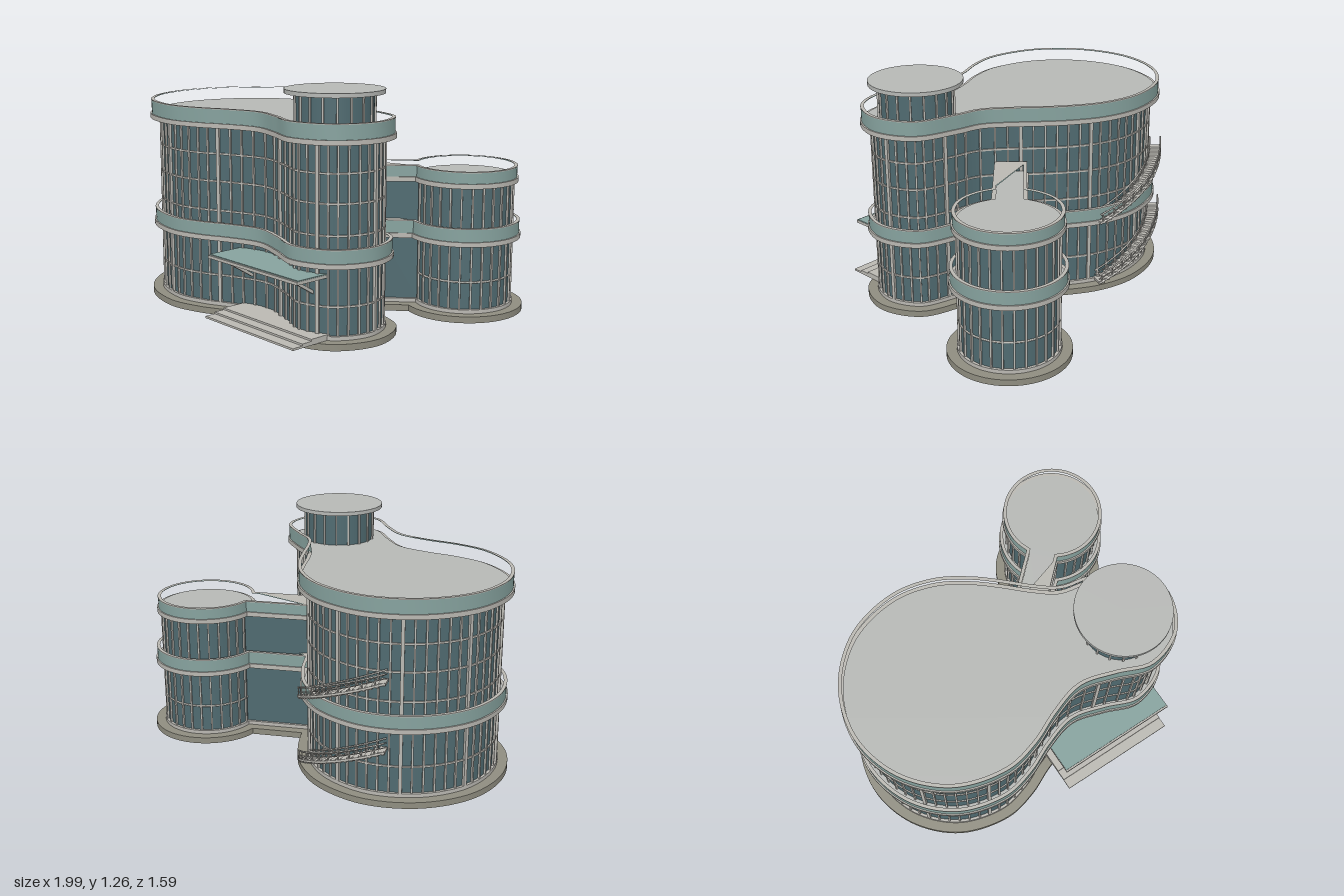
import * as THREE from 'three';
import { mergeGeometries, toCreasedNormals } from 'three/addons/utils/BufferGeometryUtils.js';

const material = (name, color) => {
  const m = new THREE.MeshStandardMaterial({ color });
  m.name = name;
  return m;
};

export function createModel() {
  const group = new THREE.Group();
  const glass = material('dark glass', 0x4f6a70);
  const teal = material('teal panel', 0x86a29e);
  const trim = material('light trim', 0xbab8b2);
  const roofing = material('roof grey', 0xb6b8b5);
  const stone = material('plinth stone', 0x8f8d80);

  const add = (name, geometry, mat) => {
    const mesh = new THREE.Mesh(geometry, mat);
    mesh.name = name;
    group.add(mesh);
    return mesh;
  };

  // Plan of the main block: a large and a small lobe in one flowing curve (x, z)
  const BASE = 0.07; // the plinth projects this far from the glass
  const plan = new THREE.CatmullRomCurve3([
    [-1, 0.15], [-0.92, -0.14], [-0.71, -0.352], [-0.42, -0.43], [-0.18, -0.385], [0, -0.28],
    [0.12, -0.18], [0.25, -0.06], [0.36, 0.02], [0.5, 0.05], [0.735, 0.135], [0.83, 0.36],
    [0.735, 0.585], [0.51, 0.675], [0.31, 0.61], [0.13, 0.565], [-0.05, 0.615], [-0.22, 0.69],
    [-0.42, 0.73], [-0.71, 0.652], [-0.92, 0.44],
  ].map(([x, z]) => new THREE.Vector3(x, 0, z)), true, 'centripetal');

  // Point on the main glass line, pushed out by o, with its outward normal
  const mainAt = (u, o) => {
    const p = plan.getPointAt(u % 1), t = plan.getTangentAt(u % 1);
    return { x: p.x + t.z * (o - BASE), z: p.z - t.x * (o - BASE), nx: t.z, nz: -t.x };
  };
  const mainPlan = (o) => Array.from({ length: 144 }, (_, i) => {
    const p = mainAt(i / 144, o);
    return new THREE.Vector2(p.x, -p.z);
  });

  // Plan of the annex: a round tower with a straight link into the main block
  const AX = 0.665, AZ = -0.47, AR = 0.257, LINK = 0.065, LENGTH = 0.64;
  const linkAngle = Math.atan2(0.68, -0.73);
  const annexPlan = (o) => {
    const r = AR + o, h = LINK + o, gap = Math.asin(h / r), pts = [];
    const c = Math.cos(linkAngle), s = Math.sin(linkAngle);
    for (let i = 0; i <= 72; i++) {
      const a = linkAngle + gap + (i / 72) * (2 * Math.PI - 2 * gap);
      pts.push(new THREE.Vector2(AX + r * Math.cos(a), -(AZ + r * Math.sin(a))));
    }
    for (const k of [-h, h]) pts.push(new THREE.Vector2(AX + c * LENGTH - s * k, -(AZ + s * LENGTH + c * k)));
    return pts;
  };

  // Extrude a plan between two heights, optionally hollow
  const solid = (outer, y0, y1, inner) => {
    const shape = new THREE.Shape(outer);
    if (inner) shape.holes.push(new THREE.Path(inner));
    const g = new THREE.ExtrudeGeometry(shape, { depth: y1 - y0, bevelEnabled: false });
    g.rotateX(-Math.PI / 2).translate(0, y0, 0);
    return toCreasedNormals(g, 0.5);
  };

  // Ledge, parapet, coping and floor surface of one storey
  const storeyBand = (name, planOf, y, top, ledge, roofName) => {
    const out = ledge - 0.008;
    add(name + 'Ledge', solid(planOf(ledge), y, y + 0.026), trim);
    add(name + 'Parapet', solid(planOf(out), y + 0.026, top - 0.005, planOf(out - 0.014)), teal);
    add(name + 'Coping', solid(planOf(out + 0.002), top - 0.005, top, planOf(out - 0.017)), trim);
    add(roofName, solid(planOf(out - 0.014), y + 0.026, y + 0.034), roofing);
  };

  // Upright bar facing along an outward normal
  const bar = (p, w, d, y0, y1) => new THREE.BoxGeometry(w, y1 - y0, d)
    .rotateY(Math.atan2(p.nx, p.nz)).translate(p.x, (y0 + y1) / 2, p.z);
  const circleAt = (cx, cz, r, a) => ({
    x: cx + r * Math.cos(a), z: cz + r * Math.sin(a), nx: Math.cos(a), nz: Math.sin(a),
  });
  const hoop = (cx, cz, r, y) => new THREE.TorusGeometry(r, 0.006, 6, 72)
    .rotateX(Math.PI / 2).translate(cx, y, cz);

  // Plinths, kerbs and glass
  add('mainPlinth', solid(mainPlan(BASE), 0, 0.035), stone);
  add('annexPlinth', solid(annexPlan(BASE), 0, 0.035), stone);
  add('mainKerb', solid(mainPlan(0.015), 0.035, 0.056), trim);
  add('annexKerb', solid(annexPlan(0.015), 0.035, 0.056), trim);
  add('mainGlass', solid(mainPlan(0), 0.05, 1.03), glass);
  add('annexGlass', solid(annexPlan(0), 0.05, 0.725), glass);

  // Storey bands
  storeyBand('mainLower', mainPlan, 0.408, 0.506, 0.052, 'mainLowerDeck');
  storeyBand('mainUpper', mainPlan, 1.02, 1.125, 0.06, 'mainRoof');
  storeyBand('annexLower', annexPlan, 0.408, 0.506, 0.05, 'annexLowerDeck');
  storeyBand('annexUpper', annexPlan, 0.716, 0.805, 0.03, 'annexRoof');

  // Main block mullions, every sixth one broader, and transoms
  const mullions = [];
  for (let i = 0; i < 72; i++) {
    const wide = i % 6 === 0;
    mullions.push(bar(mainAt(i / 72, 0.003), wide ? 0.019 : 0.01, wide ? 0.022 : 0.014, 0.05, 1.025));
  }
  add('mainMullions', mergeGeometries(mullions), trim);
  for (const y of [0.205, 0.565, 0.725, 0.875]) {
    add('mainTransom', solid(mainPlan(0.007), y - 0.005, y + 0.005, mainPlan(-0.01)), trim);
  }

  // Annex mullions, left out where the link joins
  const annexBars = [];
  for (let i = 0; i < 28; i++) {
    const a = linkAngle + ((i + 0.5) / 28) * Math.PI * 2;
    if (Math.cos(a - linkAngle) > 0.96) continue;
    annexBars.push(bar(circleAt(AX, AZ, AR + 0.003, a), 0.01, 0.014, 0.05, 0.72));
  }
  add('annexMullions', mergeGeometries(annexBars), trim);
  add('annexTransom', hoop(AX, AZ, AR, 0.205), trim);

  // Round penthouse
  const PX = 0.51, PZ = 0.365;
  add('penthouseGlass', new THREE.CylinderGeometry(0.2, 0.2, 0.2, 64).translate(PX, 1.15, PZ), glass);
  add('penthouseRoof', new THREE.CylinderGeometry(0.255, 0.255, 0.022, 64).translate(PX, 1.253, PZ), roofing);
  const penthouseBars = [];
  for (let i = 0; i < 18; i++) {
    penthouseBars.push(bar(circleAt(PX, PZ, 0.202, (i / 18) * Math.PI * 2), 0.01, 0.014, 1.05, 1.245));
  }
  add('penthouseMullions', mergeGeometries(penthouseBars), trim);

  // Entrance canopy on two sloping struts
  const box = (x0, x1, y0, y1, z0, z1) => new THREE.BoxGeometry(x1 - x0, y1 - y0, z1 - z0)
    .translate((x0 + x1) / 2, (y0 + y1) / 2, (z0 + z1) / 2);
  add('canopy', box(-0.045, 0.66, 0.352, 0.368, 0.46, 0.755), trim);
  add('canopyTop', box(-0.043, 0.658, 0.368, 0.373, 0.46, 0.745), teal);
  for (const x of [0.045, 0.585]) {
    const strut = add('canopyStrut', new THREE.BoxGeometry(0.02, 0.016, 0.22), trim);
    strut.position.set(x, 0.295, 0.625);
    strut.rotation.x = -Math.atan2(0.1, 0.16);
  }

  // Entrance steps
  [0.79, 0.73, 0.67].forEach((z, i) => {
    add('entranceStep', box(-0.03, 0.67, 0.034 + i * 0.01, 0.045 + i * 0.01, 0.5, z), trim);
  });

  // Curved outside stairs climbing round the back of the large lobe
  const stair = (name, y0, y1) => {
    const A0 = -64 * Math.PI / 180, A1 = -132 * Math.PI / 180, n = 20, parts = [];
    const at = (r, t) => circleAt(-0.42, 0.15, r, A0 + (A1 - A0) * t);
    const height = (t) => y0 + (y1 - y0) * t;
    for (let i = 0; i < n; i++) {
      const t = (i + 0.5) / n, y = height(t);
      parts.push(bar(at(0.553, t), 0.036, 0.075, y - 0.007, y + 0.007));
      if (i % 2 === 0) for (const r of [0.525, 0.588]) parts.push(bar(at(r, t), 0.006, 0.006, y, y + 0.052));
    }
    for (const r of [0.525, 0.588]) {
      for (const [lift, radius] of [[0, 0.007], [0.028, 0.003], [0.053, 0.005]]) {
        const path = new THREE.CatmullRomCurve3(Array.from({ length: 9 }, (_, i) => {
          const p = at(r, i / 8);
          return new THREE.Vector3(p.x, height(i / 8) + lift, p.z);
        }));
        parts.push(new THREE.TubeGeometry(path, 32, radius, 6));
      }
    }
    add(name, mergeGeometries(parts), trim);
  };
  stair('lowerStair', 0.045, 0.315);
  stair('upperStair', 0.42, 0.69);

  return group;
}
